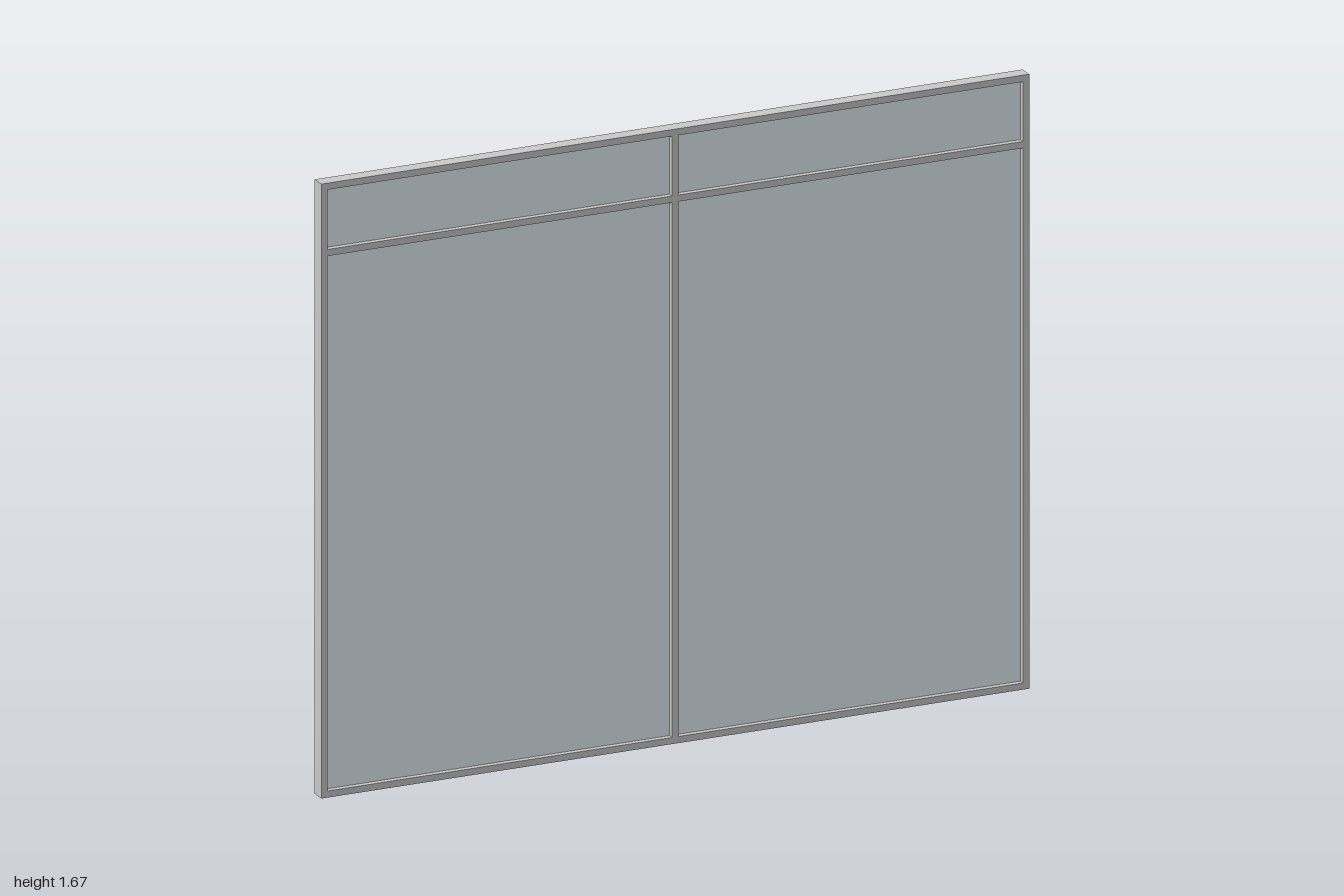
import * as THREE from 'three';

// Two-bay window with a row of top lights above a transom
const W = 2, H = 1.667, D = 0.04, BAR = 0.018;
const TRANSOM_Y = 1.478, GLASS = 0.008;

const frameMat = new THREE.MeshStandardMaterial({ color: 0xcccccc });
const glassMat = new THREE.MeshStandardMaterial({ color: 0xe8f3f8 });

function box(name, w, h, d, x, y, material) {
  const mesh = new THREE.Mesh(new THREE.BoxGeometry(w, h, d), material);
  mesh.name = name;
  mesh.position.set(x, y, 0);
  return mesh;
}

export function createModel() {
  const model = new THREE.Group();
  model.name = 'window';
  const frame = new THREE.Group();
  frame.name = 'frame';
  const glazing = new THREE.Group();
  glazing.name = 'glazing';
  model.add(frame, glazing);

  // Full-height uprights: two jambs and the centre mullion
  const jambX = W / 2 - BAR / 2;
  frame.add(
    box('leftJamb', BAR, H, D, jambX, H / 2, frameMat),
    box('rightJamb', BAR, H, D, -jambX, H / 2, frameMat),
    box('mullion', BAR, H, D, 0, H / 2, frameMat)
  );

  // Horizontal rails and panes, butted between the uprights in each bay
  const bayW = jambX - BAR;
  const rails = [['sill', BAR / 2], ['transom', TRANSOM_Y], ['head', H - BAR / 2]];
  for (const [side, s] of [['left', 1], ['right', -1]]) {
    const x = s * jambX / 2;
    for (const [rail, y] of rails) {
      frame.add(box(`${side} ${rail}`, bayW, BAR, D, x, y, frameMat));
    }
    ['main pane', 'top pane'].forEach((pane, i) => {
      const y0 = rails[i][1] + BAR / 2, y1 = rails[i + 1][1] - BAR / 2;
      glazing.add(box(`${side} ${pane}`, bayW, y1 - y0, GLASS, x, (y0 + y1) / 2, glassMat));
    });
  }
  return model;
}
